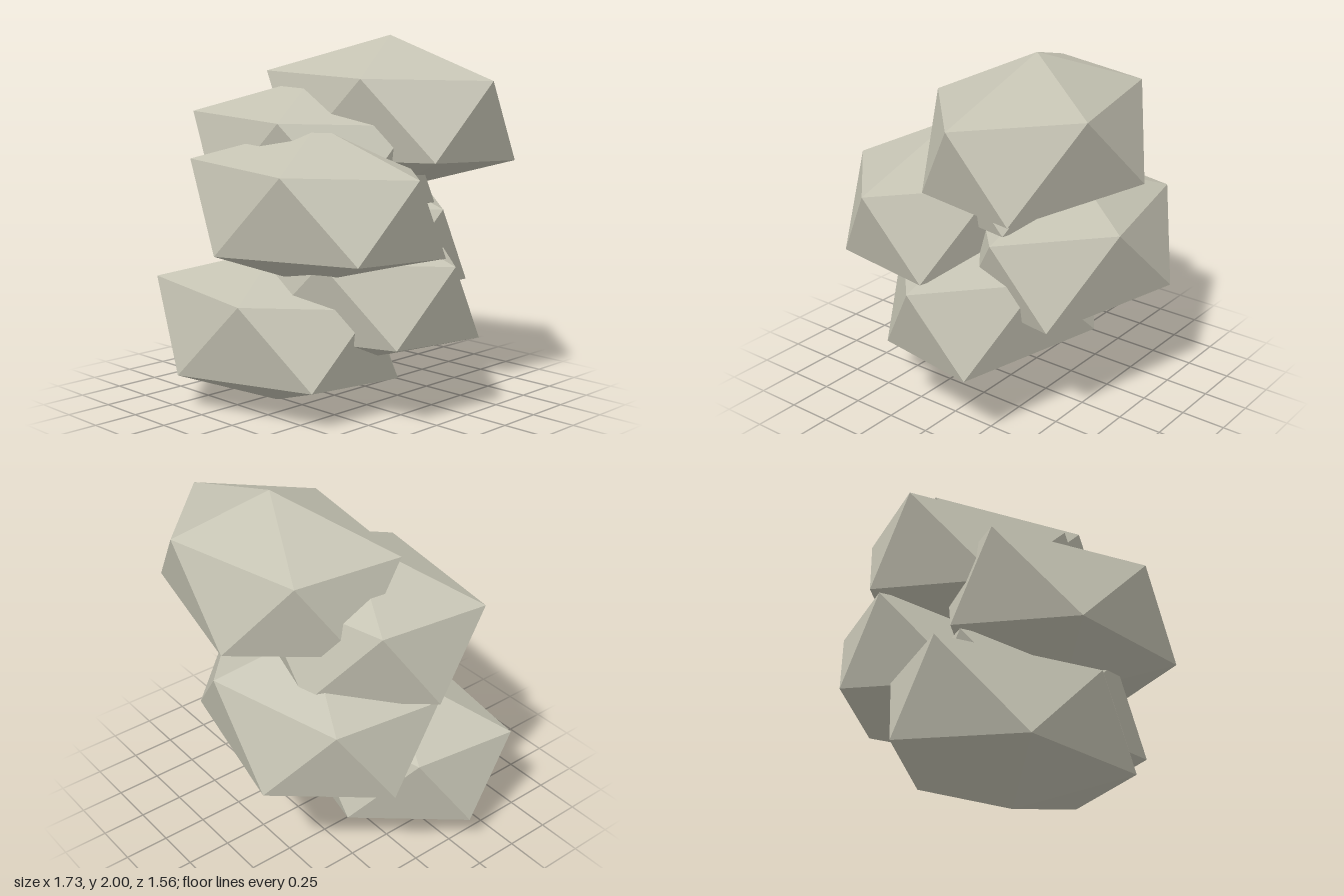
import * as THREE from 'three';

// One faceted boulder: a stretched, slightly irregular icosahedron of two five-point rings and two poles
function boulderGeometry() {
  const upper = [[0.70, 0.20, 0], [0.21, 0.21, 0.465], [-0.67, 0.23, 0.31], [-0.57, 0.21, -0.27], [0.21, 0.21, -0.46]];
  const lower = [[0.56, -0.21, 0.28], [-0.25, -0.23, 0.50], [-0.71, -0.21, 0], [-0.26, -0.23, -0.50], [0.62, -0.23, -0.30]];
  const top = [-0.01, 0.43, 0];
  const bottom = [-0.01, -0.42, 0];
  const corners = [];
  for (let i = 0; i < 5; i++) {
    const j = (i + 1) % 5;
    corners.push(top, upper[j], upper[i]); // cap
    corners.push(upper[i], upper[j], lower[i]); // band
    corners.push(lower[i], upper[j], lower[j]);
    corners.push(bottom, lower[i], lower[j]); // underside
  }
  const geometry = new THREE.BufferGeometry();
  geometry.setAttribute('position', new THREE.Float32BufferAttribute(corners.flat(), 3));
  geometry.computeVertexNormals();
  return geometry;
}

export function createModel() {
  const group = new THREE.Group();
  group.name = 'boulderStack';
  const stone = new THREE.MeshStandardMaterial({ color: 0xc4c2b2 });
  stone.name = 'paleStone';
  stone.flatShading = true;
  const geometry = boulderGeometry();

  // Six boulders climb in even steps, alternating left and right and cycling front to back
  for (let i = 0; i < 6; i++) {
    const boulder = new THREE.Mesh(geometry, stone);
    boulder.name = `boulder${i + 1}`;
    boulder.position.set(i % 2 ? 0.16 : -0.16, 0.42 + 0.23 * i, 0.28 * (1 - (i % 3)));
    group.add(boulder);
  }
  return group;
}
